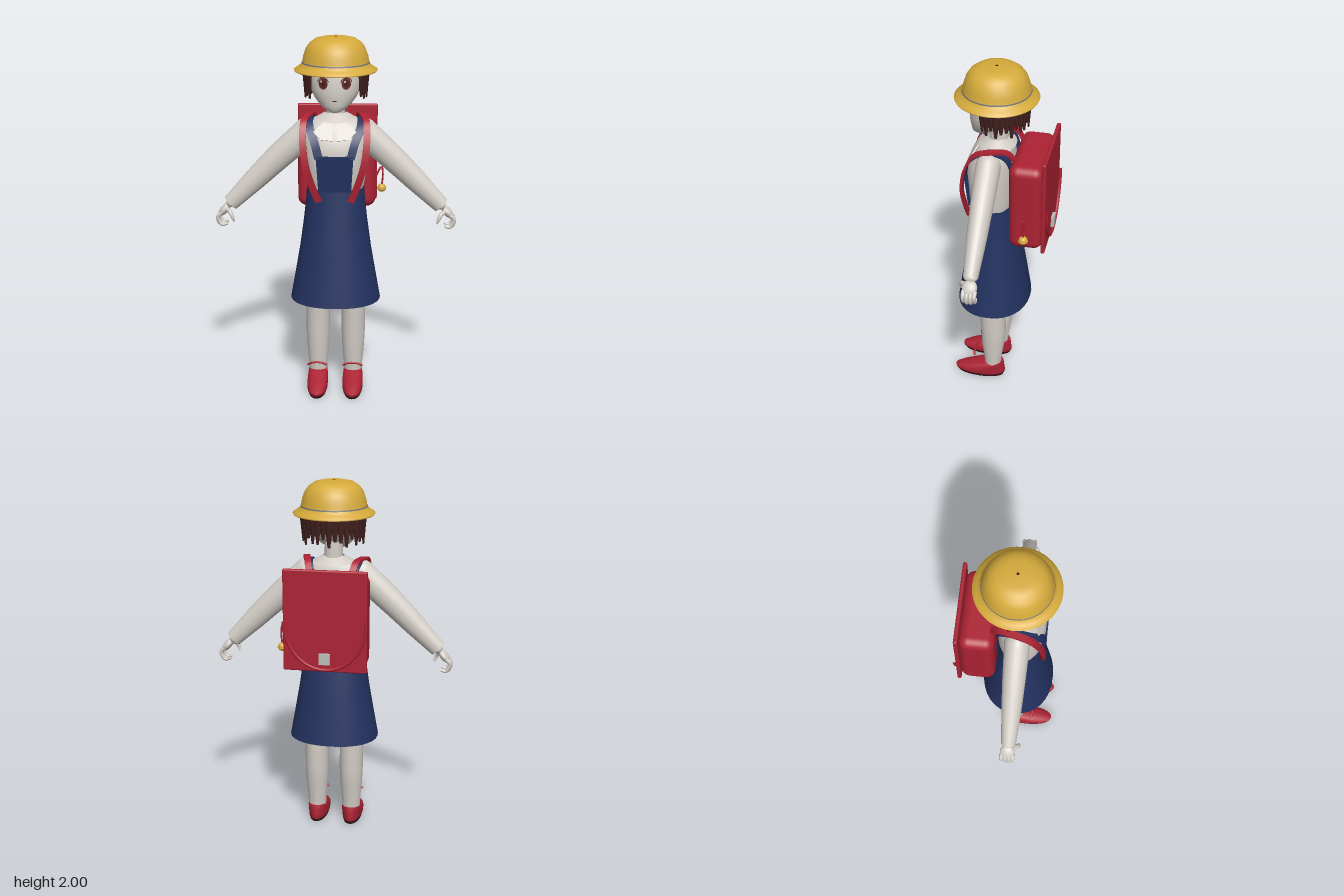
import * as THREE from 'three';
import { toCreasedNormals } from 'three/addons/utils/BufferGeometryUtils.js';
import { RoundedBoxGeometry } from 'three/addons/geometries/RoundedBoxGeometry.js';

const mat = (name, color, side = THREE.FrontSide) => {
  const m = new THREE.MeshStandardMaterial({ color, side });
  m.name = name;
  return m;
};
const V = (x, y, z) => new THREE.Vector3(x, y, z);

// Indexed grid of rings -> geometry, optionally closed at both ends
function ringsToGeometry(rings, caps, crease) {
  const n = rings[0].length, pos = rings.flat().flatMap(p => [p.x, p.y, p.z]), idx = [];
  for (let i = 0; i < rings.length - 1; i++) {
    for (let j = 0; j < n; j++) {
      const a = i * n + j, b = i * n + (j + 1) % n;
      idx.push(a, b, b + n, a, b + n, a + n);
    }
  }
  if (caps) {
    [0, rings.length - 1].forEach((r, end) => {
      const c = rings[r].reduce((s, p) => s.add(p), V(0, 0, 0)).divideScalar(n);
      const k = pos.length / 3;
      pos.push(c.x, c.y, c.z);
      for (let j = 0; j < n; j++) {
        const a = r * n + j, b = r * n + (j + 1) % n;
        end ? idx.push(k, a, b) : idx.push(k, b, a);
      }
    });
  }
  const g = new THREE.BufferGeometry();
  g.setAttribute('position', new THREE.Float32BufferAttribute(pos, 3));
  g.setIndex(idx);
  return toCreasedNormals(g, crease);
}

// Horizontal superellipse sections: [y, centreX, centreZ, radiusX, radiusZ], bottom to top
function loft(rows, p = 2, caps = true, n = 32) {
  const pw = v => Math.sign(v) * Math.abs(v) ** (2 / p);
  const rings = rows.map(([y, cx, cz, rx, rz]) => Array.from({ length: n }, (_, j) => {
    const t = j / n * Math.PI * 2;
    return V(cx + rx * pw(Math.sin(t)), y, cz + rz * pw(Math.cos(t)));
  }));
  return ringsToGeometry(rings, caps, 0.9);
}

// Flat band along a curve, its width pointing along x
function ribbon(points, half, thick) {
  const curve = new THREE.CatmullRomCurve3(points), w = V(1, 0, 0), rings = [];
  for (let i = 0; i <= 30; i++) {
    const c = curve.getPointAt(i / 30), t = curve.getTangentAt(i / 30);
    const side = w.clone().addScaledVector(t, -w.dot(t)).normalize();
    const n = t.clone().cross(side);
    rings.push([[-1, -1], [1, -1], [1, 1], [-1, 1]].map(([a, b]) =>
      c.clone().addScaledVector(side, a * half).addScaledVector(n, b * thick / 2)));
  }
  return ringsToGeometry(rings, true, 0.6);
}

// Round tube whose radius follows a list
function taperTube(points, radii, segs = 16, sides = 16) {
  const curve = new THREE.CatmullRomCurve3(points);
  const g = new THREE.TubeGeometry(curve, segs, 1, sides), pos = g.attributes.position;
  for (let k = 0; k < pos.count; k++) {
    const u = Math.floor(k / (sides + 1)) / segs, c = curve.getPointAt(u);
    const f = u * (radii.length - 1), i = Math.min(Math.floor(f), radii.length - 2);
    const r = THREE.MathUtils.lerp(radii[i], radii[i + 1], f - i);
    pos.setXYZ(k, c.x + (pos.getX(k) - c.x) * r, c.y + (pos.getY(k) - c.y) * r, c.z + (pos.getZ(k) - c.z) * r);
  }
  return g;
}

export function createModel() {
  const model = new THREE.Group();
  const white = mat('white', 0xd2ccc5, THREE.DoubleSide), navy = mat('navy', 0x233260, THREE.DoubleSide);
  const red = mat('red', 0xac2233), yellow = mat('yellow', 0xd6ab3c, THREE.DoubleSide);
  const brown = mat('darkBrown', 0x42211f, THREE.DoubleSide), iris = mat('eyeRed', 0x6e2a28);
  const sole = mat('soleBrown', 0x3c171b), grey = mat('bandGrey', 0x70757c), metal = mat('metal', 0xbcbcb8);

  const add = (name, geo, m, x = 0, y = 0, z = 0, parent = model) => {
    const mesh = new THREE.Mesh(geo, m);
    mesh.name = name;
    mesh.position.set(x, y, z);
    parent.add(mesh);
    return mesh;
  };
  const ball = (r) => new THREE.SphereGeometry(r, 20, 14);

  // Head and neck
  add('neck', new THREE.CylinderGeometry(0.048, 0.052, 0.14, 24), white, 0, 1.62, 0.03);
  add('head', loft([
    [1.617, 0, 0.135, 0.025, 0.025], [1.632, 0, 0.115, 0.058, 0.057], [1.655, 0, 0.095, 0.085, 0.08],
    [1.69, 0, 0.075, 0.113, 0.105], [1.73, 0, 0.058, 0.133, 0.124], [1.78, 0, 0.05, 0.14, 0.127],
    [1.84, 0, 0.045, 0.14, 0.125], [1.9, 0, 0.04, 0.12, 0.11], [1.94, 0, 0.04, 0.08, 0.075]]), white);
  add('mouth', new THREE.BoxGeometry(0.022, 0.003, 0.004), brown, 0, 1.682, 0.18);

  // Hair: shell under the hat and hanging strands
  const shell = add('hairShell', new THREE.CylinderGeometry(0.95, 1, 0.13, 32, 1, true, 1.0, 2 * Math.PI - 2), brown, 0, 1.805, 0.015);
  shell.scale.set(0.165, 1, 0.145);
  for (let i = 0; i < 23; i++) {
    const t = 0.98 + i / 22 * (2 * Math.PI - 1.96), len = 0.125 + 0.022 * Math.sin(i * 2.4);
    const s = add('hairStrand', new THREE.CylinderGeometry(0.026, 0.007, len, 8), brown,
      0.163 * Math.sin(t), 1.815 - len / 2, 0.012 + 0.138 * Math.cos(t));
    s.rotation.y = t;
    s.scale.z = 0.65;
  }

  // Hat
  const hatPts = [[0.218, 1.82], [0.222, 1.828], [0.2, 1.842], [0.182, 1.858], [0.176, 1.875], [0.172, 1.9], [0.158, 1.94],
    [0.138, 1.968], [0.108, 1.989], [0.07, 1.998], [0, 2]].map(p => new THREE.Vector2(...p));
  add('hat', new THREE.LatheGeometry(hatPts, 48), yellow, 0, 0, 0.04);
  add('hatBand', new THREE.CylinderGeometry(0.179, 0.181, 0.007, 48, 1, true), grey, 0, 1.866, 0.04);
  add('hatButton', new THREE.CylinderGeometry(0.007, 0.007, 0.004, 12), sole, 0, 1.999, 0.04);

  // Shirt body and collar
  add('shirt', loft([
    [1.17, 0, 0.06, 0.15, 0.105], [1.25, 0, 0.065, 0.163, 0.122], [1.4, 0, 0.068, 0.17, 0.128], [1.48, 0, 0.06, 0.175, 0.115],
    [1.535, 0, 0.05, 0.16, 0.09], [1.565, 0, 0.04, 0.12, 0.07], [1.58, 0, 0.033, 0.065, 0.055]], 2.4), white);
  const collar = add('collarRing', new THREE.CylinderGeometry(0.058, 0.125, 0.04, 32, 1, true), white, 0, 1.577, 0.035);
  collar.scale.z = 0.8;

  // Skirt and bib
  add('skirt', loft([
    [0.545, 0, 0.055, 0.25, 0.205], [0.7, 0, 0.055, 0.222, 0.182], [0.85, 0, 0.056, 0.196, 0.16], [1.0, 0, 0.058, 0.175, 0.138],
    [1.12, 0, 0.06, 0.161, 0.121], [1.2, 0, 0.06, 0.156, 0.113]], 2.2, false), navy);
  const bibShape = new THREE.Shape([[-0.088, 0], [0.088, 0], [0.1, 0.2], [-0.1, 0.2]].map(p => new THREE.Vector2(...p)));
  add('bib', new THREE.ExtrudeGeometry(bibShape, { depth: 0.022, bevelEnabled: false }), navy, 0, 1.19, 0.162).rotation.x = 0.1;

  // Backpack
  add('backpackBody', new RoundedBoxGeometry(0.435, 0.505, 0.185, 5, 0.05), red, 0, 1.28, -0.152);
  add('backpackFlap', new RoundedBoxGeometry(0.45, 0.555, 0.022, 3, 0.008), red, 0, 1.303, -0.252);
  const trim = Array.from({ length: 13 }, (_, i) => {
    const t = Math.PI * i / 12;
    return V(0.222 * Math.cos(t), 1.3 - 0.262 * Math.sin(t), -0.269);
  });
  add('flapTrim', new THREE.TubeGeometry(new THREE.CatmullRomCurve3(trim), 40, 0.009, 8), red);
  add('latch', new THREE.BoxGeometry(0.06, 0.06, 0.02), metal, 0, 1.1, -0.27);
  add('bellCord', new THREE.TubeGeometry(new THREE.CatmullRomCurve3(
    [V(0.215, 1.18, -0.15), V(0.25, 1.245, -0.15), V(0.258, 1.2, -0.15), V(0.252, 1.13, -0.153)]), 20, 0.005, 8), red);
  add('bell', ball(0.024), yellow, 0.252, 1.12, -0.153);
  add('bellRim', new THREE.TorusGeometry(0.024, 0.003, 6, 24), yellow, 0.252, 1.115, -0.153).rotation.x = Math.PI / 2;

  for (const s of [1, -1]) {
    const P = list => list.map(([x, y, z]) => V(s * x, y, z));

    // Eye: layered thin discs and a lash
    const eye = new THREE.Group();
    eye.name = 'eye';
    eye.position.set(s * 0.06, 1.772, 0.169);
    eye.rotation.y = s * 0.42;
    model.add(eye);
    add('iris', new THREE.CircleGeometry(0.026, 24), iris, 0, 0, 0.001, eye).scale.y = 1.15;
    add('pupil', new THREE.CircleGeometry(0.014, 20), brown, 0, 0, 0.003, eye).scale.y = 1.3;
    add('eyeGleam', new THREE.CircleGeometry(0.006, 12), white, -0.009, 0.012, 0.005, eye);
    add('lash', new THREE.RingGeometry(0.03, 0.035, 24, 1, 0.3, Math.PI - 0.6), brown, 0, 0, 0.002, eye);

    // Collar flap
    const flap = new THREE.Shape(P([[0.012, 0, 0], [0.075, 0.006, 0], [0.115, 0.05, 0], [0.06, 0.105, 0], [0.012, 0.095, 0]])
      .map(p => new THREE.Vector2(p.x, p.y)));
    const f = add('collarFlap', new THREE.ExtrudeGeometry(flap, { depth: 0.006, bevelEnabled: false }), white, 0, 1.468, 0.182);
    f.rotation.x = -0.55;

    // Straps
    add('bibStrap', ribbon(P([[0.085, 1.375, 0.198], [0.108, 1.46, 0.18], [0.135, 1.53, 0.135], [0.14, 1.568, 0.06],
      [0.125, 1.54, -0.025], [0.1, 1.45, -0.06], [0.07, 1.28, -0.068], [0.07, 1.18, -0.055]]), 0.022, 0.012), navy);
    add('backpackStrap', ribbon(P([[0.115, 1.52, -0.08], [0.13, 1.57, -0.04], [0.15, 1.575, 0.05], [0.167, 1.56, 0.125],
      [0.17, 1.47, 0.178], [0.155, 1.34, 0.2], [0.12, 1.22, 0.193], [0.085, 1.135, 0.182]]), 0.018, 0.014), red);

    // Sleeve, slightly flattened front to back
    const arm = new THREE.Group();
    arm.name = 'arm';
    arm.position.z = 0.055;
    arm.scale.z = 0.85;
    model.add(arm);
    add('sleeve', taperTube(P([[0.15, 1.492, 0], [0.3, 1.358, 0], [0.578, 1.085, 0]]), [0.078, 0.072, 0.062, 0.046], 20, 24), white, 0, 0, 0, arm);
    add('shoulder', ball(0.078), white, s * 0.15, 1.492, 0, arm);
    add('cuffEnd', ball(0.044), white, s * 0.576, 1.087, 0, arm).scale.set(0.6, 0.6, 1);

    // Hand with curled fingers
    const palm = add('palm', ball(0.04), white, s * 0.614, 1.046, 0.052);
    palm.scale.set(0.55, 1.1, 1);
    palm.rotation.z = s * 0.7;
    for (let i = 0; i < 4; i++) {
      const z = 0.022 + i * 0.02, d = Math.abs(i - 1.6) * 0.006;
      add('finger', taperTube(P([[0.625, 1.035, z], [0.648, 1.012, z], [0.65 - d, 0.975 + d, z], [0.625, 0.957 + d, z], [0.598, 0.962 + d, z]]),
        [0.012, 0.011, 0.01, 0.009, 0.005], 14, 10), white);
    }
    add('thumb', taperTube(P([[0.603, 1.055, 0.075], [0.578, 1.045, 0.1], [0.565, 1.02, 0.108], [0.556, 0.992, 0.104]]),
      [0.014, 0.012, 0.011, 0.005], 14, 10), white);

    // Leg
    const x = s * 0.1;
    add('leg', loft([
      [0.07, x, 0.05, 0.05, 0.048], [0.14, x, 0.05, 0.053, 0.052], [0.24, x, 0.048, 0.062, 0.066], [0.34, x, 0.045, 0.067, 0.072],
      [0.46, x, 0.05, 0.067, 0.075], [0.6, x, 0.053, 0.071, 0.08], [0.9, x * 0.85, 0.055, 0.072, 0.085]]), white);

    // Shoe, sole and ankle loop
    add('shoe', loft([
      [0.015, x, 0.128, 0.055, 0.145], [0.032, x, 0.128, 0.058, 0.15], [0.05, x, 0.112, 0.058, 0.131], [0.072, x, 0.083, 0.056, 0.1],
      [0.09, x, 0.055, 0.053, 0.069], [0.1, x, 0.045, 0.048, 0.056]], 2.1), red);
    add('sole', loft([[0, x, 0.125, 0.052, 0.137], [0.018, x, 0.128, 0.057, 0.148]], 2.1), sole);
    add('shoeStrap', new THREE.TubeGeometry(new THREE.CatmullRomCurve3(
      P([[0.045, 0.158, 0.152], [0.075, 0.172, 0.156], [0.1, 0.175, 0.157], [0.125, 0.172, 0.156], [0.155, 0.158, 0.152]])), 20, 0.006, 8), red);
  }
  return model;
}
